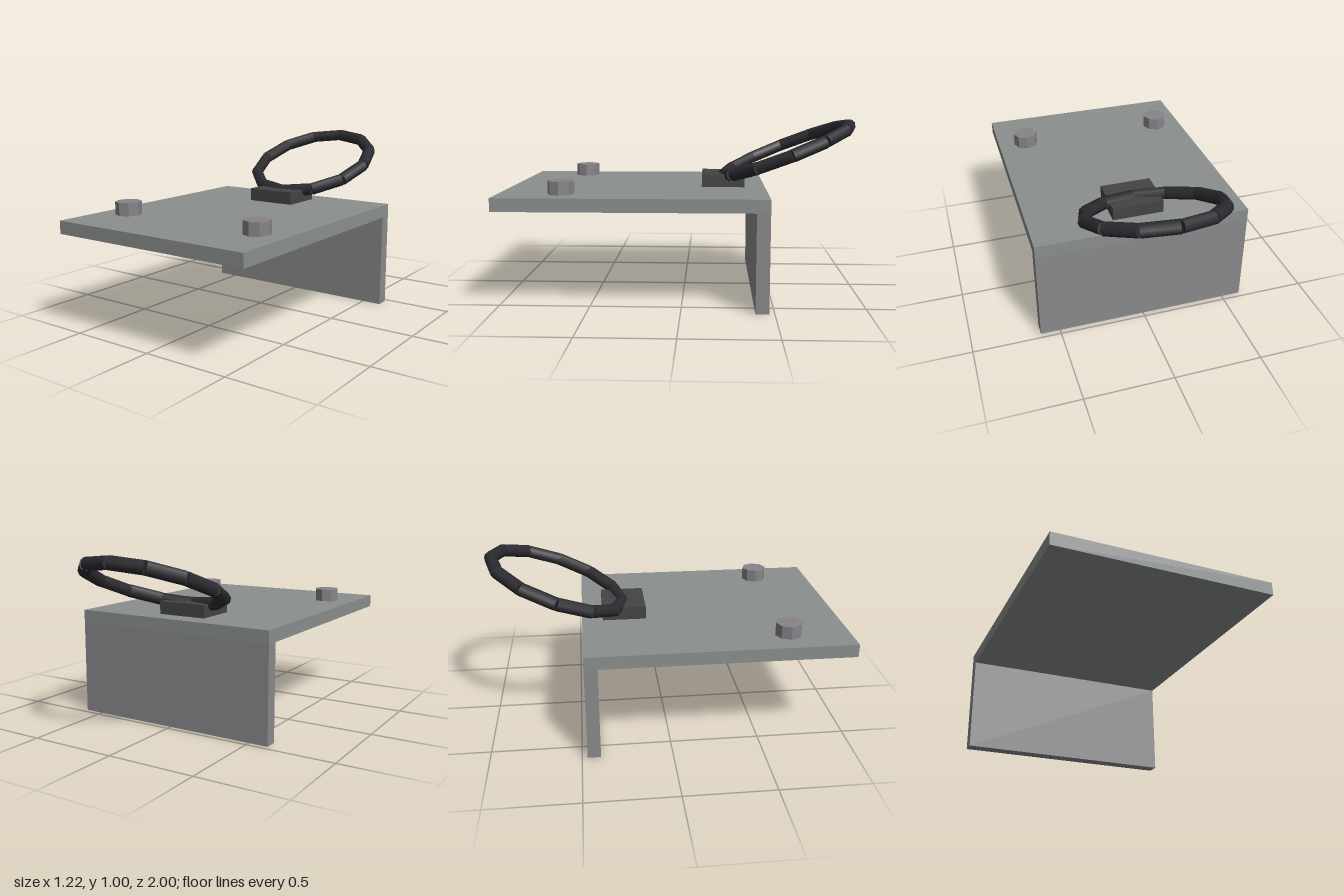
import * as THREE from 'three';

const paint = (color, flatShading = true) => new THREE.MeshStandardMaterial({ color, flatShading });

export function createModel() {
  const model = new THREE.Group();
  model.name = 'ringBracket';

  const add = (name, geometry, material, x, y, z, parent = model) => {
    const mesh = new THREE.Mesh(geometry, material);
    mesh.name = name;
    mesh.position.set(x, y, z);
    parent.add(mesh);
    return mesh;
  };

  // L-shaped bracket: flat plate with a wall hanging from its back edge
  const width = 1.224, thick = 0.073, top = 0.613;
  add('topPlate', new THREE.BoxGeometry(width, thick, 1.47), paint(0x8a8f8e), 0, top - thick / 2, 0.265);
  add('backPlate', new THREE.BoxGeometry(width, top - thick, thick), paint(0x8a8a8c), 0, (top - thick) / 2, -0.4335);

  // Bolt heads near the front corners
  const boltGeometry = new THREE.CylinderGeometry(0.0735, 0.0735, 0.0735, 8);
  const boltMaterial = paint(0x868488);
  for (const side of [1, -1]) {
    add(side > 0 ? 'leftBolt' : 'rightBolt', boltGeometry, boltMaterial, side * 0.441, top + 0.0367, 0.655);
  }

  // Block holding the ring
  add('ringMount', new THREE.BoxGeometry(0.294, 0.0735, 0.247), paint(0x444444), 0, top + 0.0367, -0.228);

  // Sloping ring of twelve straight bars
  const ring = new THREE.Group();
  ring.name = 'ring';
  ring.position.set(0, 0.816, -0.6);
  model.add(ring);
  const ringMaterial = paint(0x2c2b30, false);
  const count = 12, radius = 0.3675, rise = 0.147, barRadius = 0.0367;
  const joint = (i) => {
    const a = (i / count) * Math.PI * 2;
    return new THREE.Vector3(Math.cos(a) * radius, Math.sin(a) * rise, -Math.sin(a) * radius);
  };
  const up = new THREE.Vector3(0, 1, 0);
  for (let i = 0; i < count; i++) {
    const a = joint(i), b = joint(i + 1);
    const mid = a.clone().add(b).multiplyScalar(0.5);
    const bar = add('ringBar', new THREE.CylinderGeometry(barRadius, barRadius, a.distanceTo(b), 8),
      ringMaterial, mid.x, mid.y, mid.z, ring);
    bar.quaternion.setFromUnitVectors(up, b.sub(a).normalize());
  }

  return model;
}
